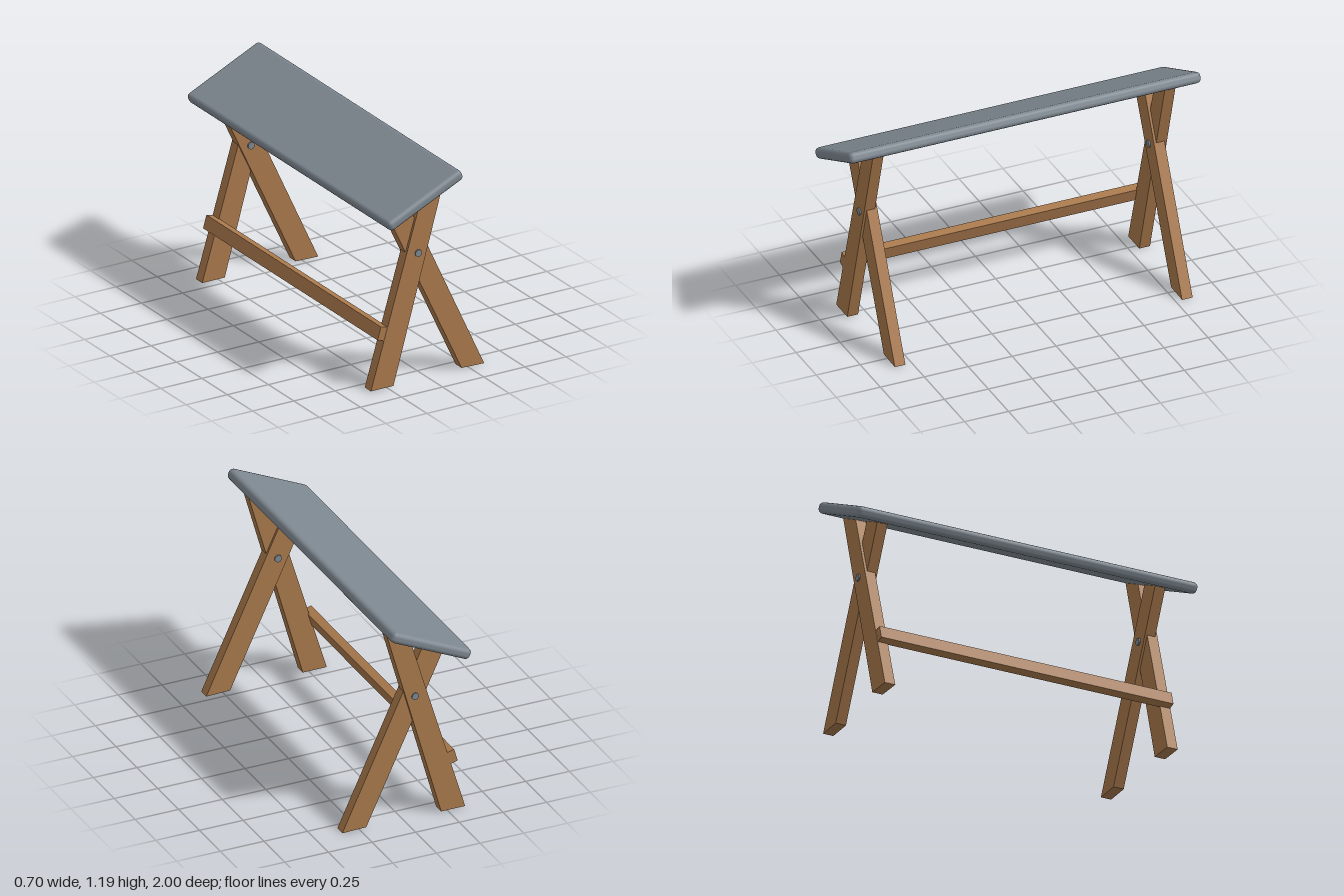
import * as THREE from 'three';
import { RoundedBoxGeometry } from 'three/addons/geometries/RoundedBoxGeometry.js';

const wood = new THREE.MeshStandardMaterial({ color: 0xa8784c });
wood.name = 'wood';
const padding = new THREE.MeshStandardMaterial({ color: 0x7d8790 });
padding.name = 'slate grey';

// Straight board: an outline in the x-y plane extruded from z0 to z1
function board(name, outline, z0, z1) {
  const shape = new THREE.Shape(outline.map(([x, y]) => new THREE.Vector2(x, y)));
  const geometry = new THREE.ExtrudeGeometry(shape, { depth: z1 - z0, bevelEnabled: false });
  geometry.translate(0, 0, z0);
  const mesh = new THREE.Mesh(geometry, wood);
  mesh.name = name;
  return mesh;
}

// Leg outlines, tops cut to the slope of the seat
const steepLeg = [[-0.35, 0.004], [-0.213, 0.004], [0.104, 1.13], [-0.031, 1.067]];
const slantedLeg = [[0.21, 0.004], [0.347, 0], [-0.127, 1.022], [-0.242, 0.968]];

export function createModel() {
  const model = new THREE.Group();
  model.name = 'trestleBench';

  // Tilted padded seat
  const seat = new THREE.Mesh(new RoundedBoxGeometry(0.492, 0.06, 2, 2, 0.024), padding);
  seat.name = 'seat';
  seat.rotation.z = THREE.MathUtils.degToRad(24.9);
  seat.position.set(-0.097, 1.066, 0);
  model.add(seat);

  // Crossed, lapped legs with a bolt at each end
  for (const side of [1, -1]) {
    const end = new THREE.Group();
    end.name = side > 0 ? 'frontLegs' : 'backLegs';
    const span = (a, b) => (side > 0 ? [a, b] : [-b, -a]);
    end.add(board('steepLeg', steepLeg, ...span(0.8, 0.861)));
    end.add(board('slantedLeg', slantedLeg, ...span(0.787, 0.847)));

    const bolt = new THREE.Mesh(new THREE.CylinderGeometry(0.02, 0.02, 0.089, 16), padding);
    bolt.name = 'bolt';
    bolt.rotation.x = Math.PI / 2;
    bolt.position.set(-0.063, 0.719, side * 0.8235);
    end.add(bolt);
    model.add(end);
  }

  // Stretcher let into the outer edge of the steep legs
  model.add(board('stretcher',
    [[-0.308, 0.281], [-0.264, 0.268], [-0.243, 0.34], [-0.288, 0.352]], -0.859, 0.859));

  return model;
}
